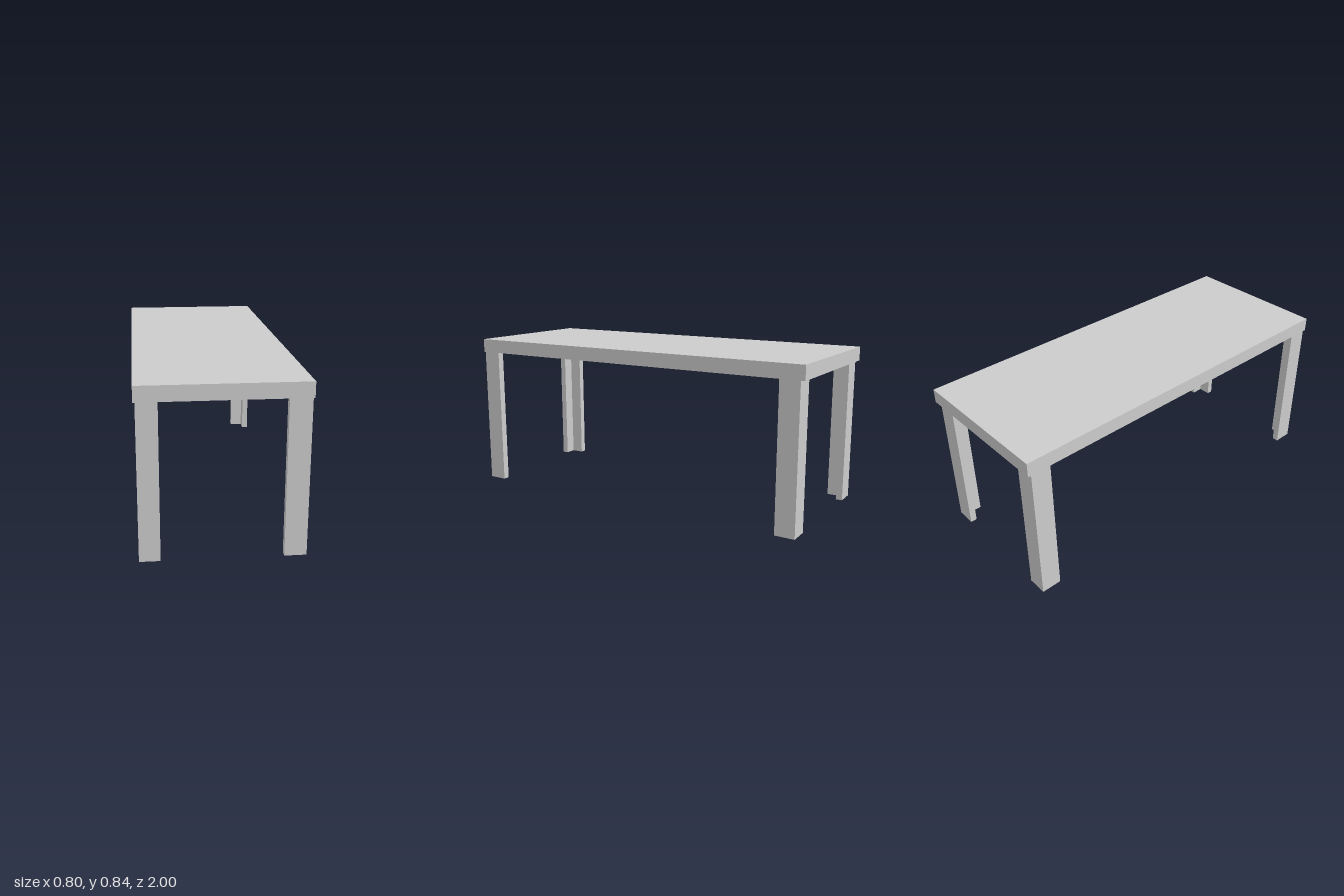
import * as THREE from 'three';

const HEIGHT = 0.843, RIM = 0.075, WALL = 0.035;

// L-shaped leg profile, outer corner at the origin, arms running along +x and +y
function angleShape(w, d) {
  return new THREE.Shape([[0, 0], [w, 0], [w, WALL], [WALL, WALL], [WALL, d], [0, d]]
    .map(([x, y]) => new THREE.Vector2(x, y)));
}

export function createModel() {
  const group = new THREE.Group();
  const material = new THREE.MeshStandardMaterial({ color: 0xcccccc, side: THREE.DoubleSide, flatShading: true });

  // table top: thin shell with a turned-down rim, open underneath
  const shell = new THREE.BoxGeometry(0.8, RIM, 2);
  const index = Array.from(shell.index.array);
  index.splice(18, 6); // drop the bottom face
  shell.setIndex(index);
  shell.clearGroups();
  const top = new THREE.Mesh(shell, material);
  top.name = 'tableTop';
  top.position.y = HEIGHT - RIM / 2;
  group.add(top);

  // four angle-section legs, outer corners towards the table corners
  const legs = [
    ['frontLeftLeg', 0.393, 0.997, 0.106, 0.103],
    ['frontRightLeg', -0.391, 0.994, 0.1, 0.107],
    ['backLeftLeg', 0.393, -0.976, 0.106, 0.106],
    ['backRightLeg', -0.394, -0.98, 0.104, 0.107],
  ];
  for (const [name, x, z, w, d] of legs) {
    const sx = Math.sign(x), sz = Math.sign(z);
    const points = angleShape(w, d).getPoints().map(p => new THREE.Vector2(x - sx * p.x, -(z - sz * p.y)));
    const geometry = new THREE.ExtrudeGeometry(new THREE.Shape(points), { depth: HEIGHT - 0.002, bevelEnabled: false });
    geometry.rotateX(-Math.PI / 2);
    const leg = new THREE.Mesh(geometry, material);
    leg.name = name;
    group.add(leg);
  }
  return group;
}
